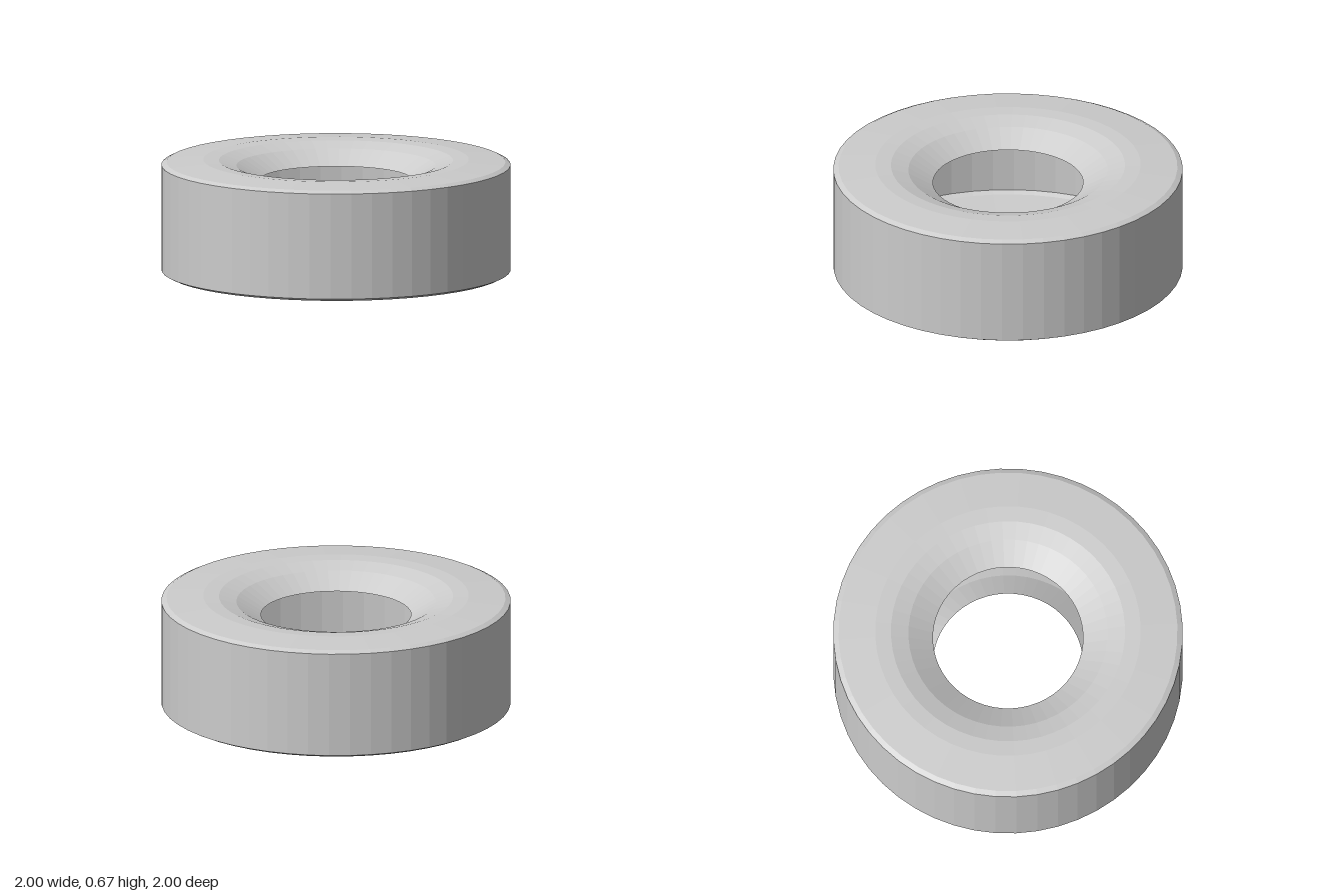
import * as THREE from 'three';

const HEIGHT = 0.67;
const SEGMENTS = 52;

export function createModel() {
  const group = new THREE.Group();
  group.name = 'tire';

  // Upper half of the cross-section, from tread shoulder in to the open bead
  const upper = [
    [1, 0.64], [0.97, 0.655], [0.76, 0.67],
    [0.67, 0.665], [0.57, 0.635], [0.43, 0.555],
  ];
  // Lower half is its mirror, running from the bead out to the tread
  const lower = upper.map(([r, y]) => [r, HEIGHT - y]).reverse();
  const profile = [...lower, ...upper].map(([r, y]) => new THREE.Vector2(r, y));

  // Hollow shell, open along the inside of the ring
  const shell = new THREE.Mesh(
    new THREE.LatheGeometry(profile, SEGMENTS),
    new THREE.MeshStandardMaterial({
      color: 0xcccccc,
      flatShading: true,
      side: THREE.DoubleSide,
    }),
  );
  shell.name = 'tireShell';
  group.add(shell);
  return group;
}
